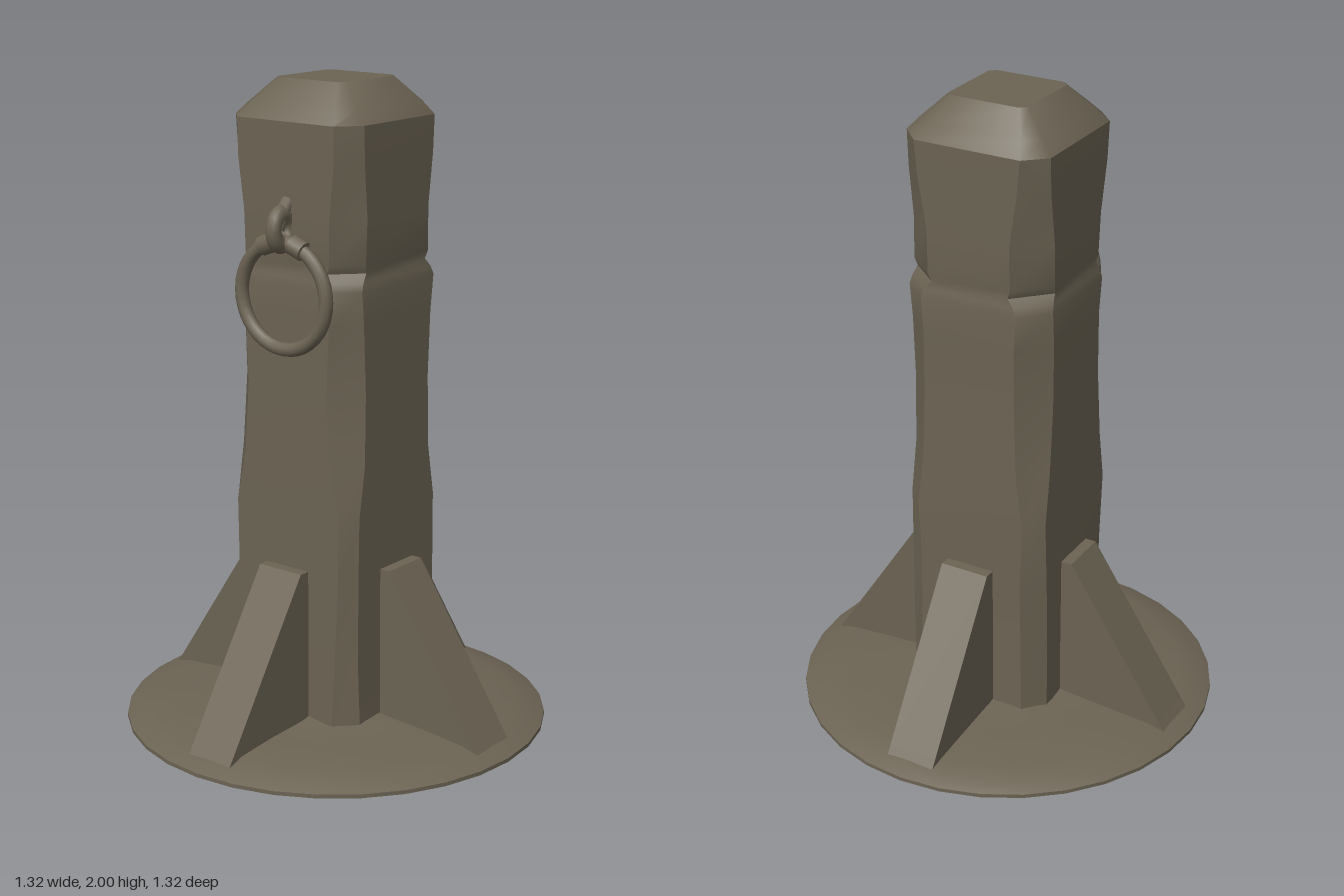
import * as THREE from 'three';
import { toCreasedNormals } from 'three/addons/utils/BufferGeometryUtils.js';

export function createModel() {
  const model = new THREE.Group();
  const stone = new THREE.MeshStandardMaterial({ name: 'weathered stone', color: 0x6b6353 });

  function add(name, geometry, parent = model) {
    const mesh = new THREE.Mesh(geometry, stone);
    mesh.name = name;
    parent.add(mesh);
    return mesh;
  }

  // Repeatable small unevenness in the range -1..1
  const rough = (a, b) => Math.sin(a * 12.9 + b * 7.3) * Math.cos(a * 5.1 - b * 9.7);

  // Low round mound with a thin rim
  const profile = [[0, 0], [0.66, 0], [0.66, 0.012], [0.62, 0.03], [0.56, 0.045], [0.42, 0.057], [0.27, 0.066], [0.21, 0.08], [0, 0.08]];
  const base = new THREE.LatheGeometry(profile.map(([r, y]) => new THREE.Vector2(r, y)), 32);
  const p = base.attributes.position;
  for (let i = 0; i < p.count; i++) {
    const r = Math.hypot(p.getX(i), p.getZ(i));
    if (p.getY(i) > 0.04 && r > 0.1) p.setY(i, p.getY(i) + 0.005 * rough(p.getX(i) * 2, p.getZ(i) * 2));
  }
  add('base', toCreasedNormals(base, 0.6));

  // Post: worn octagonal sections as [height, half width, corner cut]
  const sections = [
    [0.03, 0.237, 0.065], [0.25, 0.235, 0.06], [0.5, 0.235, 0.055], [0.72, 0.236, 0.05],
    [0.88, 0.235, 0.075], [1.1, 0.234, 0.085], [1.3, 0.234, 0.08], [1.41, 0.236, 0.07],
    [1.435, 0.232, 0.075], [1.46, 0.226, 0.09], [1.485, 0.231, 0.085], [1.62, 0.233, 0.085],
    [1.78, 0.236, 0.065], [1.89, 0.237, 0.06], [1.93, 0.2, 0.045], [2.0, 0.13, 0.02],
  ];
  const verts = [];
  const index = [];
  sections.forEach(([y, h, cut], row) => {
    for (let side = 0; side < 4; side++) {
      const turn = side * Math.PI / 2;
      const wear = y < 1.9 ? 0.014 * rough(side + 1, y * 0.35) : 0;
      const c = h - cut - wear;
      for (const u of [-c, c]) {
        verts.push(
          u * Math.cos(turn) + h * Math.sin(turn),
          y,
          h * Math.cos(turn) - u * Math.sin(turn));
      }
    }
    if (row === 0) return;
    for (let i = 0; i < 8; i++) {
      const a = (row - 1) * 8 + i, b = (row - 1) * 8 + (i + 1) % 8;
      index.push(a, b, b + 8, a, b + 8, a + 8);
    }
  });
  const last = (sections.length - 1) * 8;
  for (let i = 1; i < 7; i++) index.push(last, last + i, last + i + 1);
  const post = new THREE.BufferGeometry();
  post.setAttribute('position', new THREE.Float32BufferAttribute(verts, 3));
  post.setIndex(index);
  add('post', toCreasedNormals(post, 0.6));

  // Four sloping braces around the foot
  const brace = new THREE.Shape([[0.2, 0.03], [0.605, 0.03], [0.585, 0.06], [0.27, 0.54], [0.2, 0.54]]
    .map(([x, y]) => new THREE.Vector2(x, y)));
  const braceGeometry = new THREE.ExtrudeGeometry(brace, { depth: 0.16, bevelEnabled: false });
  braceGeometry.translate(0, 0, -0.08);
  for (let i = 0; i < 4; i++) add('brace', braceGeometry).rotation.y = i * Math.PI / 2;

  // Mooring ring, with two collars either side of its eye
  const tether = new THREE.Group();
  tether.name = 'mooringRing';
  tether.position.set(0, 1.38, 0.247);
  model.add(tether);
  add('ring', new THREE.TorusGeometry(0.16, 0.021, 10, 40), tether);
  for (const side of [-1, 1]) {
    const angle = Math.PI / 2 - side * 0.36;
    const collar = add('collar', new THREE.CylinderGeometry(0.03, 0.03, 0.05, 12), tether);
    collar.position.set(0.16 * Math.cos(angle), 0.16 * Math.sin(angle), 0);
    collar.rotation.z = angle;
  }

  // Eye loop holding the ring, with a tang running up the post
  const eye = add('eyeLoop', new THREE.TorusGeometry(0.035, 0.024, 10, 20));
  eye.rotation.y = Math.PI / 2;
  eye.position.set(0, 1.58, 0.255);
  eye.scale.y = 1.25;
  const tang = new THREE.CatmullRomCurve3([
    new THREE.Vector3(0, 1.58, 0.275), new THREE.Vector3(0, 1.62, 0.255), new THREE.Vector3(0, 1.66, 0.222),
  ]);
  add('eyeTang', new THREE.TubeGeometry(tang, 8, 0.022, 8));

  return model;
}
